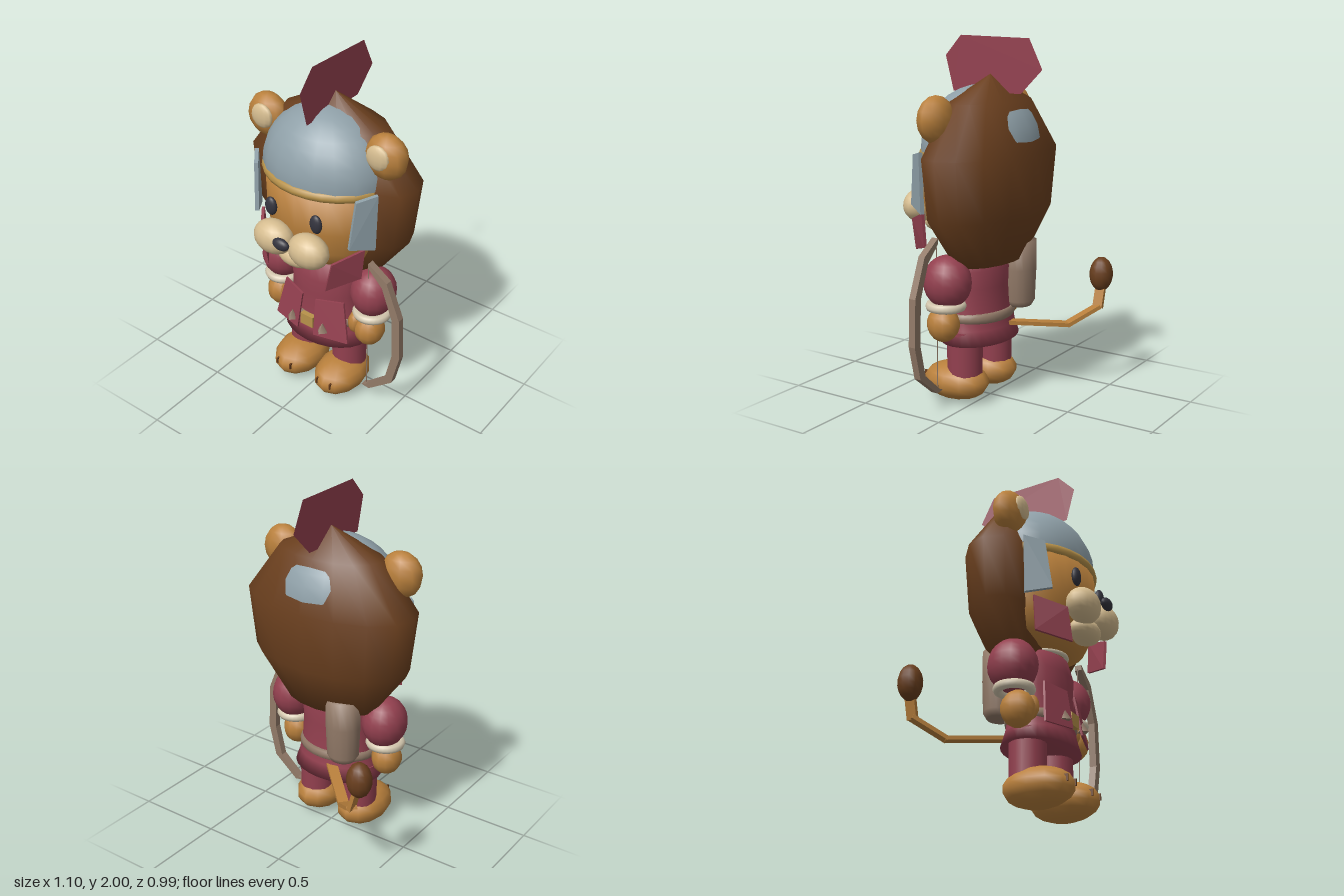
import * as THREE from 'three';
import { ConvexGeometry } from 'three/addons/geometries/ConvexGeometry.js';

const mat = (name, color) => Object.assign(new THREE.MeshStandardMaterial({ color }), { name });
const V = (x, y, z) => new THREE.Vector3(x, y, z);

export function createModel() {
  const model = new THREE.Group();
  model.name = 'lionSoldier';
  const fur = mat('golden fur', 0xb9803c);
  const mane = mat('brown mane', 0x6a3f1e);
  const cream = mat('cream muzzle', 0xd6bd90);
  const trim = mat('pale trim', 0xd3c7ae);
  const cloth = mat('maroon cloth', 0x93404f);
  const steel = mat('grey steel', 0x8fa0a8);
  const gold = mat('gold', 0xb8924a);
  const leather = mat('taupe leather', 0x927a68);
  const dark = mat('dark eyes', 0x34343e);
  cloth.side = steel.side = THREE.DoubleSide;

  const add = (name, geo, material, pos = [0, 0, 0], scale = [1, 1, 1], parent = model) => {
    const m = new THREE.Mesh(geo, material);
    m.name = name;
    m.position.set(...pos);
    m.scale.set(...scale);
    parent.add(m);
    return m;
  };
  const ball = (name, material, pos, radii, w = 16, h = 12) =>
    add(name, new THREE.SphereGeometry(1, w, h), material, pos, radii);
  const lathe = (pts, segs) =>
    new THREE.LatheGeometry(pts.map(([r, y]) => new THREE.Vector2(r, y)), segs);
  // flat slab: four front corners, thickened backwards by an offset
  const slab = (name, material, corners, off) => {
    const pts = corners.flatMap((c) => [V(...c), V(...c).add(V(...off))]);
    return add(name, new ConvexGeometry(pts), material);
  };
  const ring = (name, material, pos, rx, rz, tube, tall = 1) => {
    const g = new THREE.TorusGeometry(1, tube / rx, 8, 28);
    g.rotateX(Math.PI / 2);
    return add(name, g, material, pos, [rx, rx * tall, rz]);
  };

  // Mane: faceted egg with its front cut flat behind the face
  const maneGeo = lathe([[0, 0.77], [0.28, 0.79], [0.48, 1.06], [0.52, 1.39], [0.315, 1.66], [0, 1.8]], 16);
  maneGeo.scale(1, 1, 0.54);
  const mp = maneGeo.attributes.position;
  for (let i = 0; i < mp.count; i++) mp.setZ(i, Math.min(mp.getZ(i), 0.15));
  add('mane', maneGeo, mane);

  // Head and helmet share an oval plan
  add('head', lathe([[0, 0.86], [0.2, 0.875], [0.29, 0.93], [0.34, 1.02], [0.36, 1.15], [0.365, 1.4], [0, 1.42]], 24),
    fur, [0, 0, 0.05], [1, 1, 0.85]);
  const dome = new THREE.SphereGeometry(1, 20, 8, 0, Math.PI * 2, 0, Math.PI / 2);
  add('helmet', dome, steel, [0, 1.4, 0.05], [0.38, 0.345, 0.31]);
  ring('helmetBand', gold, [0, 1.38, 0.05], 0.355, 0.3, 0.027, 1.1);

  // Crest: thin upright plate along the middle
  const crest = new THREE.Shape([[0.29, 1.89], [0.19, 2], [-0.24, 1.99], [-0.32, 1.83], [-0.19, 1.7], [0.24, 1.7]]
    .map(([z, y]) => new THREE.Vector2(-z, y)));
  add('crest', new THREE.ShapeGeometry(crest), cloth).rotation.y = Math.PI / 2;

  // Face
  ball('nose', dark, [0, 1.11, 0.468], [0.052, 0.034, 0.026]);
  ball('chin', cream, [0, 0.975, 0.33], [0.12, 0.065, 0.085]);

  for (const s of [-1, 1]) {
    const side = s > 0 ? 'left' : 'right';
    ball(side + 'Eye', dark, [s * 0.147, 1.235, 0.362], [0.037, 0.054, 0.022]);
    ball(side + 'Muzzle', cream, [s * 0.115, 1.07, 0.385], [0.12, 0.096, 0.087]);
    ball(side + 'Ear', fur, [s * 0.38, 1.585, 0.085], [0.122, 0.125, 0.085], 10, 8);
    ball(side + 'InnerEar', cream, [s * 0.37, 1.6, 0.15], [0.07, 0.07, 0.028], 12, 8);

    // Cheek guard and neck flap
    slab(side + 'CheekGuard', steel, [[s * 0.385, 1.41, 0.17], [s * 0.315, 1.385, 0.26],
      [s * 0.295, 1.11, 0.292], [s * 0.375, 1.08, 0.17]], [s * 0.018, 0, 0.012]);
    slab(side + 'NeckFlap', cloth, [[s * 0.335, 1.075, 0.2], [s * 0.23, 1.015, 0.345],
      [s * 0.19, 0.835, 0.35], [s * 0.315, 0.885, 0.2]], [s * 0.012, 0, 0.01]);

    // Arm
    ball(side + 'Sleeve', cloth, [s * 0.31, 0.715, 0.07], [0.125, 0.145, 0.135]);
    ring(side + 'Cuff', trim, [s * 0.312, 0.582, 0.08], 0.085, 0.085, 0.026);
    ball(side + 'Hand', fur, [s * 0.31, 0.475, 0.1], [0.085, 0.098, 0.092], 12, 9);
    ball(side + 'Thumb', fur, [s * 0.238, 0.505, 0.13], [0.043, 0.07, 0.05], 10, 8);

    // Leg, foot and toe lines
    add(side + 'Leg', new THREE.CylinderGeometry(0.1, 0.098, 0.26, 18), cloth, [s * 0.15, 0.28, 0.07]);
    ball(side + 'Foot', fur, [s * 0.145, 0.105, 0.13], [0.142, 0.106, 0.197], 12, 9);
    for (const x of [0.097, 0.19])
      add(side + 'ToeLine', new THREE.BoxGeometry(0.009, 0.036, 0.03), mane, [s * x, 0.122, 0.3]);

    // Tunic front panel with its stud
    slab(side + 'TunicPanel', cloth, [[s * 0.2, 0.65, 0.185], [s * 0.045, 0.637, 0.235],
      [s * 0.055, 0.42, 0.272], [s * 0.25, 0.41, 0.215]], [0, 0, 0.012]);
    add(side + 'Stud', new THREE.ConeGeometry(0.034, 0.055, 4), leather, [s * 0.105, 0.482, 0.262]);
  }

  // Tunic, collar, belt and buckle
  add('tunic', lathe([[0, 0.34], [0.27, 0.34], [0.24, 0.42], [0.225, 0.5], [0.215, 0.65],
    [0.225, 0.75], [0.19, 0.85], [0.12, 0.885], [0, 0.885]], 24), cloth, [0, 0, 0.07], [1, 1, 0.72]);
  ring('collar', trim, [0, 0.868, 0.08], 0.13, 0.13, 0.013);
  ring('belt', leather, [0, 0.485, 0.07], 0.218, 0.165, 0.02, 1.5);
  add('buckle', new THREE.BoxGeometry(0.085, 0.07, 0.03), gold, [0, 0.485, 0.255]);

  // Quiver on the back
  add('quiver', lathe([[0, 0.5], [0.07, 0.505], [0.092, 0.54], [0.1, 0.72], [0.1, 0.88], [0, 0.88]], 16),
    leather, [-0.15, 0, -0.1], [1, 1, 0.9]);

  // Bow: bent strip with a fine string
  const outer = [[0.33, 0.95], [0.45, 0.87], [0.535, 0.66], [0.546, 0.4], [0.5, 0.21], [0.35, 0.088], [0.3, 0.095]];
  const inner = [[0.33, 0.11], [0.455, 0.22], [0.497, 0.4], [0.487, 0.65], [0.42, 0.83], [0.33, 0.92]];
  const bow = new THREE.Shape([...outer, ...inner].map((p) => new THREE.Vector2(...p)));
  add('bow', new THREE.ExtrudeGeometry(bow, { depth: 0.04, bevelEnabled: false }), leather, [0, 0, 0.115]);
  add('bowString', new THREE.CylinderGeometry(0.003, 0.003, 0.82, 5), leather, [0.32, 0.515, 0.135]);

  // Tail: straight four-sided links ending in a tuft
  const tail = new THREE.CurvePath();
  const path = [V(-0.05, 0.425, -0.07), V(-0.31, 0.385, -0.32), V(-0.445, 0.475, -0.44), V(-0.485, 0.62, -0.44)];
  for (let i = 0; i < 3; i++) {
    tail.add(new THREE.LineCurve3(path[i], path[i + 1]));
    const dir = path[i + 1].clone().sub(path[i]);
    const link = add('tailLink', new THREE.BoxGeometry(0.058, 0.022, dir.length() + 0.015), fur,
      path[i].clone().add(path[i + 1]).multiplyScalar(0.5).toArray());
    link.lookAt(path[i + 1].x, path[i + 1].y, path[i + 1].z);
  }
  ball('tailTuft', mane, [-0.488, 0.655, -0.435], [0.07, 0.1, 0.066], 12, 9);

  return model;
}
